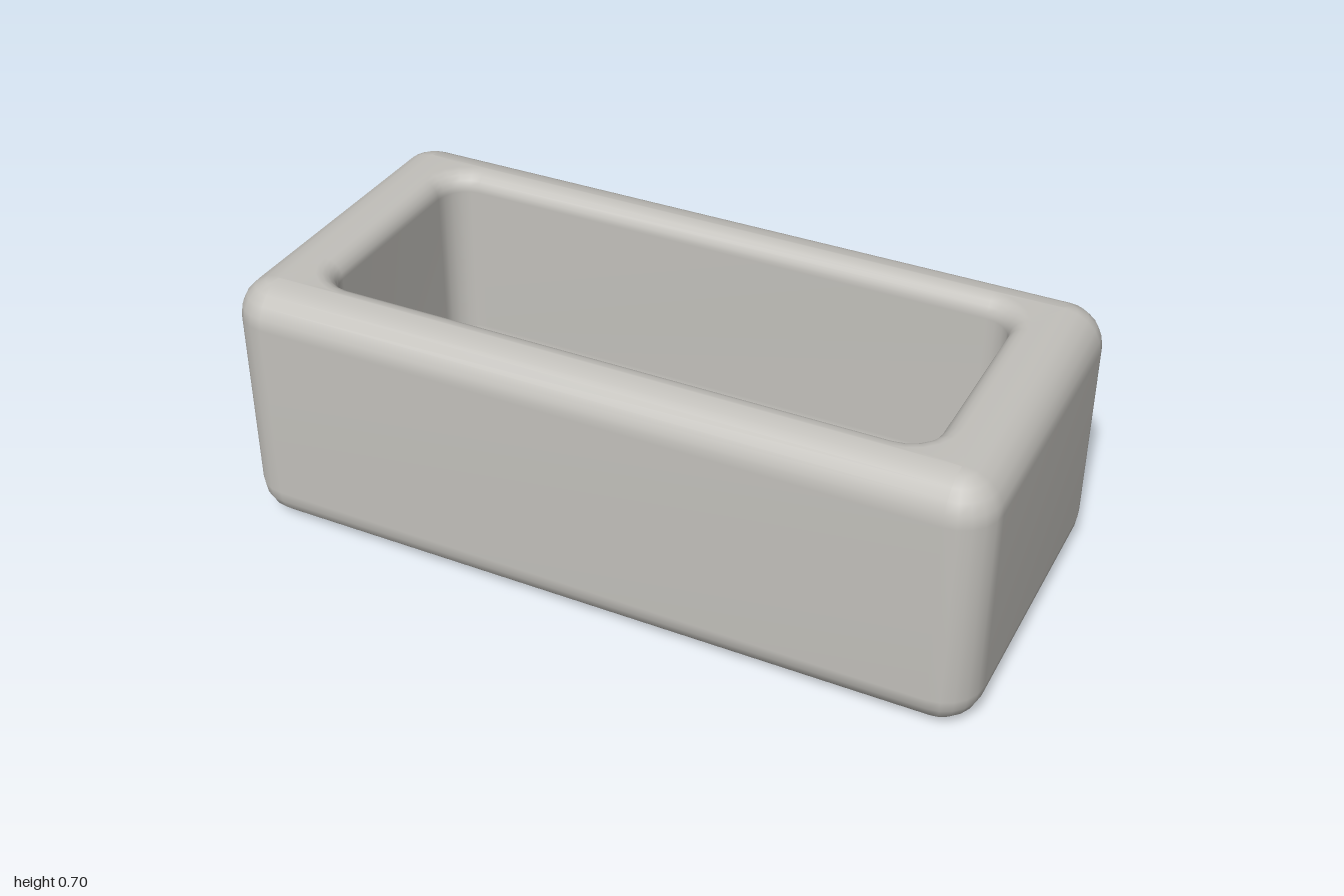
import * as THREE from 'three';

const CORNER_STEPS = 5;
const FILLET_STEPS = 5;

// Rounded rectangle ring at height y
function ring({ hx, hz, r, y }) {
  const points = [];
  for (let q = 0; q < 4; q++) {
    const sx = q === 0 || q === 3 ? 1 : -1;
    const sz = q < 2 ? 1 : -1;
    for (let i = 0; i <= CORNER_STEPS; i++) {
      const a = (q + i / CORNER_STEPS) * Math.PI / 2;
      points.push(sx * (hx - r) + r * Math.cos(a), y, sz * (hz - r) + r * Math.sin(a));
    }
  }
  return points;
}

// Skin consecutive rings into one smooth closed surface
function skin(sections) {
  const n = 4 * (CORNER_STEPS + 1);
  const index = [];
  for (let k = 0; k < sections.length - 1; k++) {
    for (let i = 0; i < n; i++) {
      const j = (i + 1) % n;
      const a = k * n + i, b = k * n + j;
      index.push(a, a + n, b, b, a + n, b + n);
    }
  }
  const geometry = new THREE.BufferGeometry();
  geometry.setAttribute('position', new THREE.Float32BufferAttribute(sections.flatMap(ring), 3));
  geometry.setIndex(index);
  geometry.computeVertexNormals();
  return geometry;
}

export function createModel() {
  const stone = new THREE.MeshStandardMaterial({ color: 0xc2c0bb });
  stone.name = 'warm grey stone';

  const outer = { hx: 1, hz: 0.465, r: 0.105 };
  const inner = { hx: 0.8, hz: 0.31, r: 0.08 };
  const height = 0.7, floor = 0.15;
  const edge = 0.1, lip = 0.05, cove = 0.075;

  const sections = [];
  // Grow (or shrink, when negative) a wall outline
  const add = (wall, grow, y) =>
    sections.push({ hx: wall.hx + grow, hz: wall.hz + grow, r: wall.r + grow, y });
  // Quarter-round edge, stepped by angle
  const fillet = (step) => {
    for (let i = 0; i <= FILLET_STEPS; i++) {
      const a = i / FILLET_STEPS * Math.PI / 2;
      step(Math.sin(a), Math.cos(a));
    }
  };

  // Underside and outer wall
  sections.push({ hx: 0, hz: 0, r: 0, y: 0 });
  fillet((s, c) => add(outer, edge * (s - 1), edge * (1 - c)));
  fillet((s, c) => add(outer, edge * (c - 1), height - edge * (1 - s)));
  // Inner lip, cavity wall and coved floor
  fillet((s, c) => add(inner, lip * (1 - s), height - lip * (1 - c)));
  fillet((s, c) => add(inner, cove * (c - 1), floor + cove * (1 - s)));
  sections.push({ hx: 0, hz: 0, r: 0, y: floor });

  const trough = new THREE.Mesh(skin(sections), stone);
  trough.name = 'trough';

  const model = new THREE.Group();
  model.name = 'planterTrough';
  model.add(trough);
  return model;
}
